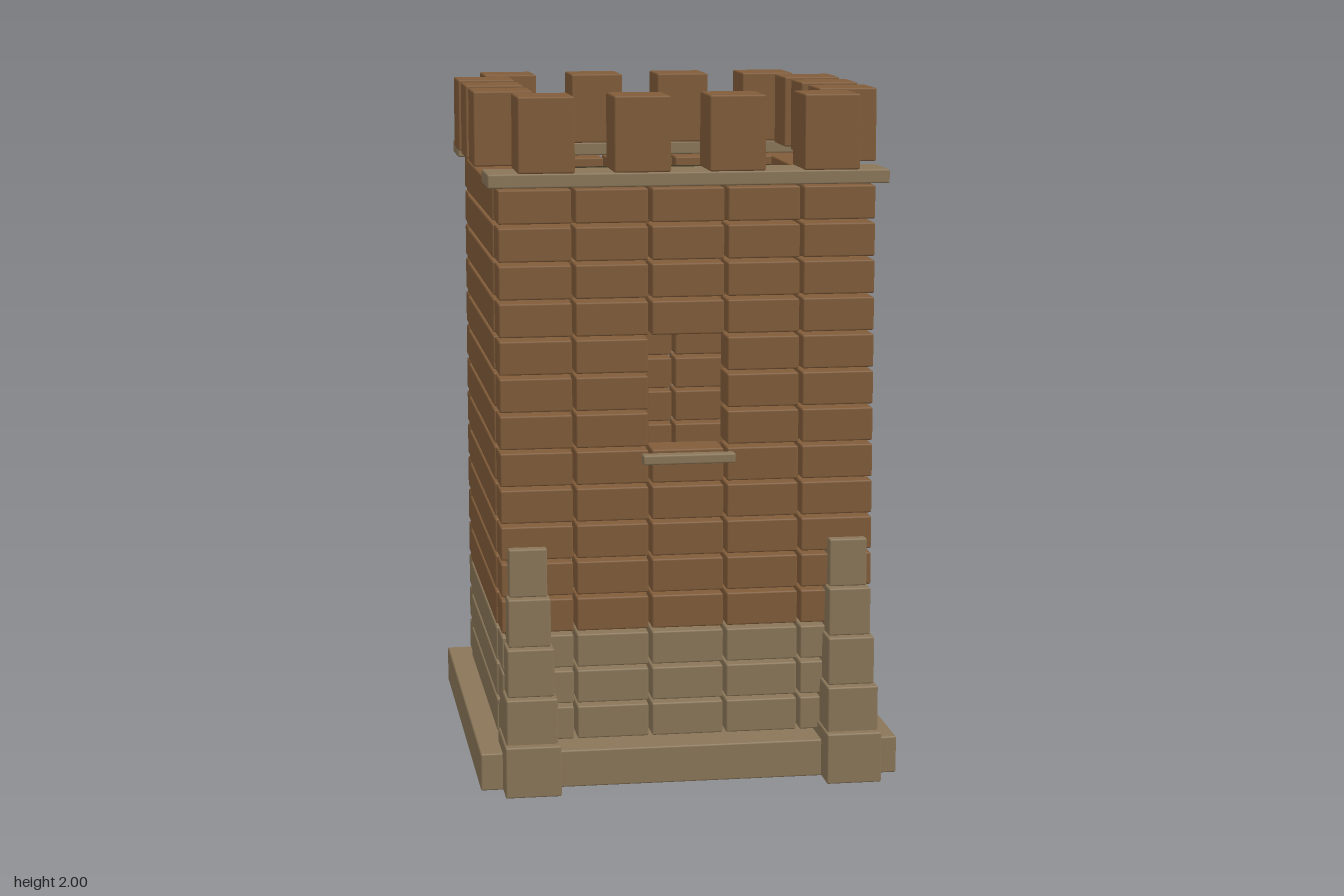
import * as THREE from 'three';
import { RoundedBoxGeometry } from 'three/addons/geometries/RoundedBoxGeometry.js';

export function createModel() {
  const tower = new THREE.Group();
  tower.name = 'tower';

  const makeMaterial = (name, color) => {
    const m = new THREE.MeshStandardMaterial({ color });
    m.name = name;
    return m;
  };
  const stone = makeMaterial('stone', 0x8b7759);
  const brick = makeMaterial('brick', 0x815c39);
  const floor = makeMaterial('dark floor', 0x3c3422);

  // Slightly bevelled block given by its extents on each axis
  const block = (parent, name, mat, [x0, x1], [y0, y1], [z0, z1]) => {
    const geo = new RoundedBoxGeometry(x1 - x0, y1 - y0, z1 - z0, 1, 0.005);
    const mesh = new THREE.Mesh(geo, mat);
    mesh.name = name;
    mesh.position.set((x0 + x1) / 2, (y0 + y1) / 2, (z0 + z1) / 2);
    parent.add(mesh);
  };
  const group = (name) => {
    const g = new THREE.Group();
    g.name = name;
    tower.add(g);
    return g;
  };
  // Extents on one side of the centre plane
  const mirrored = (side, a, b) => (side > 0 ? [a, b] : [-b, -a]);

  const FRONT = [0.39, 0.51];
  const BACK = [-0.595, -0.475];

  block(tower, 'plinth', stone, [-0.615, 0.615], [0, 0.11], [-0.657, 0.57]);

  // Courses of blocks: five per row at front and back, one long block per side
  const frontWall = group('frontWall');
  const backWall = group('backWall');
  const sideWalls = group('sideWalls');
  for (let row = 0; row < 15; row++) {
    const mat = row < 3 ? stone : brick;
    const y0 = 0.127 + row * 0.108;
    const y = [y0, y0 + 0.097];
    for (let col = -2; col <= 2; col++) {
      const x = [col * 0.22 - 0.105, col * 0.22 + 0.105];
      const isWindow = col === 0 && row >= 8 && row <= 10;
      if (!isWindow) block(frontWall, 'frontBlock', mat, x, y, FRONT);
      block(backWall, 'backBlock', mat, x, y, BACK);
    }
    for (const side of [-1, 1]) {
      block(sideWalls, 'sideBlock', mat, mirrored(side, 0.425, 0.55), y, [-0.474, 0.389]);
    }
  }

  block(tower, 'windowSill', stone, [-0.135, 0.135], [0.942, 0.97], [0.505, 0.545]);
  block(tower, 'roofFloor', floor, [-0.424, 0.424], [1.67, 1.71], [-0.474, 0.389]);

  // Coping slabs and merlons on front and back
  const battlements = group('battlements');
  const topY = [1.785, 2];
  const ends = [
    { cap: [0.375, 0.552], merlon: [0.373, 0.547] },
    { cap: [-0.643, -0.47], merlon: [-0.637, -0.463] },
  ];
  for (const { cap, merlon } of ends) {
    block(battlements, 'coping', stone, [-0.577, 0.577], [1.745, 1.785], cap);
    for (let i = 0; i < 4; i++) {
      const c = (i - 1.5) * 0.273;
      block(battlements, 'merlon', brick, [c - 0.081, c + 0.081], topY, merlon);
    }
  }
  // Merlons on the two sides
  for (const side of [-1, 1]) {
    for (let i = -1; i <= 1; i++) {
      const c = -0.047 + i * 0.265;
      block(battlements, 'sideMerlon', brick, mirrored(side, 0.42, 0.593), topY, [c - 0.081, c + 0.081]);
    }
  }

  // Stepped buttresses at the front corners
  for (const side of [-1, 1]) {
    const buttress = group(side > 0 ? 'leftButtress' : 'rightButtress');
    for (let i = 0; i < 5; i++) {
      const half = 0.081 - i * 0.0063;
      const x = mirrored(side, 0.47 - half, 0.47 + half);
      const y0 = i * 0.141;
      block(buttress, 'buttressStep', stone, x, [y0, y0 + (i ? 0.141 : 0.15)], [0.435, 0.657 - i * 0.029]);
    }
  }

  return tower;
}
